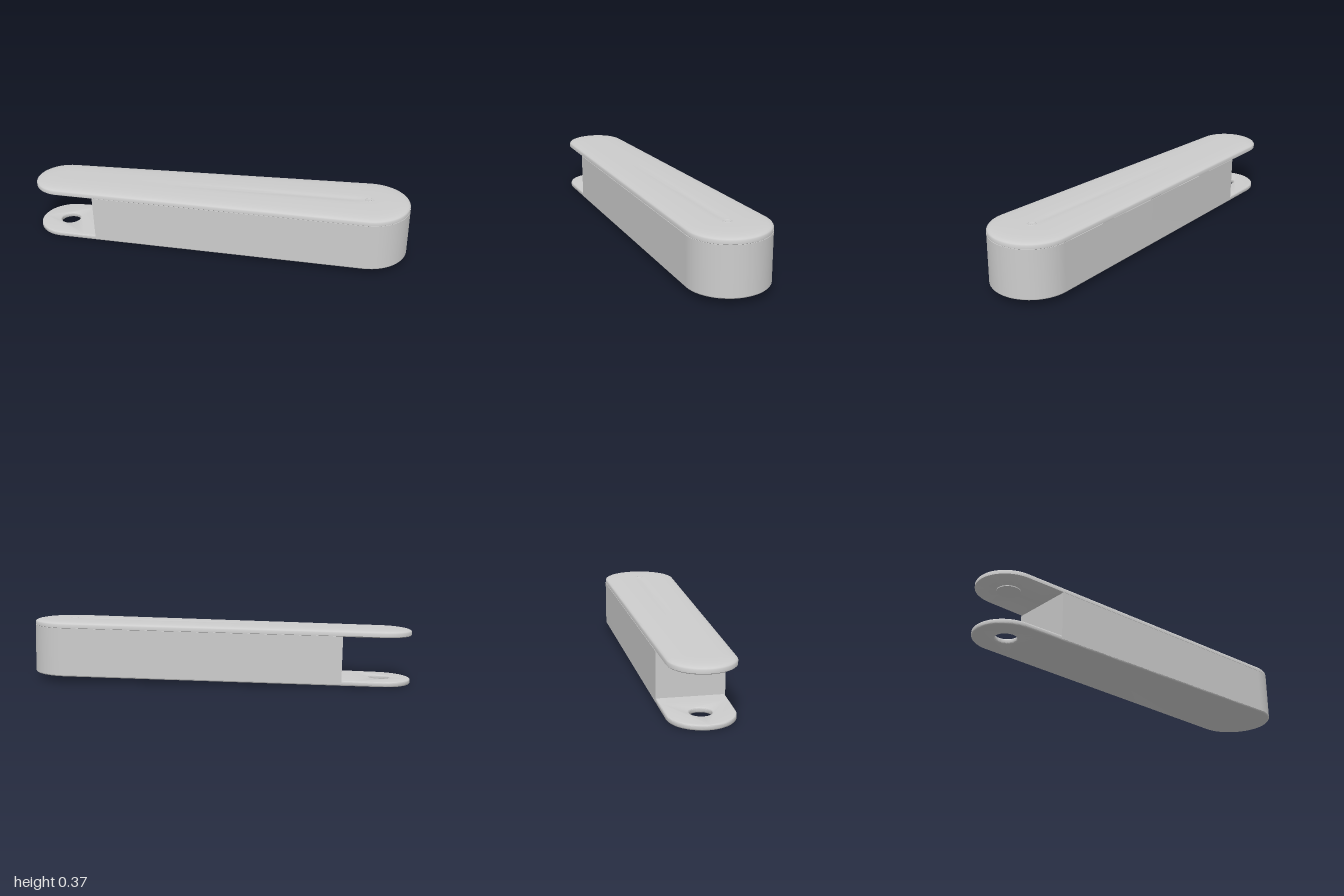
import * as THREE from 'three';
import { toCreasedNormals } from 'three/addons/utils/BufferGeometryUtils.js';

// Local frame: small end centred at u = 0, large end at u = L, v sideways
const L = 1.899, R_SMALL = 0.185, R_LARGE = 0.24;
const COS = (R_SMALL - R_LARGE) / L, PHI = Math.acos(COS);

// Outline of a tapered capsule: spine position, radius and direction per point
function outline(arcSteps = 28, sideSteps = 24) {
  const pts = [];
  const add = (t, a) => pts.push({ c: t * L, r: R_SMALL + t * (R_LARGE - R_SMALL), x: Math.cos(a), z: Math.sin(a) });
  for (let i = 0; i < arcSteps; i++) add(1, -PHI + (2 * PHI * i) / arcSteps);
  for (let i = 0; i < sideSteps; i++) add(1 - i / sideSteps, PHI);
  for (let i = 0; i < arcSteps; i++) add(0, PHI + (2 * (Math.PI - PHI) * i) / arcSteps);
  for (let i = 0; i < sideSteps; i++) add(i / sideSteps, -PHI);
  return pts;
}

function flatShape(inset) {
  return new THREE.Shape(outline().map(p => new THREE.Vector2(p.c + p.x * (p.r - inset), p.z * (p.r - inset))));
}

// Shallow groove along the top that fades out toward the small end and stops at the screw
function groove(u, v) {
  const fade = THREE.MathUtils.smoothstep(u, 0.45, 1.3) * (1 - THREE.MathUtils.smoothstep(u, L - 0.08, L - 0.01));
  return 0.004 * fade * Math.exp(-((v / 0.024) ** 2));
}

// Crowned cover lofted from rings of [inset or width fraction, height]
function coverGeometry(y0) {
  const ring = outline(), n = ring.length, pos = [], idx = [];
  const rows = [
    { s: 0, y: 0 }, { d: 0.006, y: 0 }, { d: 0, y: 0.005 }, { d: 0, y: 0.024 }, { d: 0.004, y: 0.030 },
    { d: 0.013, y: 0.034 }, { d: 0.03, y: 0.0375 }, { s: 0.7, y: 0.0405 }, { s: 0.5, y: 0.042 },
    { s: 0.32, y: 0.043 }, { s: 0.2, y: 0.043 }, { s: 0.14, y: 0.043 }, { s: 0.09, y: 0.043 },
    { s: 0.045, y: 0.043 }, { s: 0, y: 0.043 },
  ];
  rows.forEach((row, k) => ring.forEach(p => {
    const w = row.s === undefined ? p.r - row.d : p.r * row.s;
    const u = p.c + p.x * w, v = p.z * w;
    pos.push(u, y0 + row.y - (k > 6 ? groove(u, v) : 0), v);
  }));
  for (let k = 0; k < rows.length - 1; k++) {
    for (let i = 0; i < n; i++) {
      const j = (i + 1) % n, a = k * n + i, b = k * n + j, c = a + n, d = b + n;
      const onSide = ring[i].c !== ring[j].c;
      if (k > 0 || onSide) idx.push(a, c, b);
      if (k < rows.length - 2 || onSide) idx.push(b, c, d);
    }
  }
  const g = new THREE.BufferGeometry();
  g.setAttribute('position', new THREE.Float32BufferAttribute(pos, 3));
  g.setIndex(idx);
  return toCreasedNormals(g, 0.75);
}

function slab(shape, y0, y1, bevel = 0) {
  const g = new THREE.ExtrudeGeometry(shape, {
    depth: y1 - y0 - 2 * bevel, bevelEnabled: bevel > 0, bevelSize: bevel,
    bevelThickness: bevel, bevelSegments: 3, curveSegments: 40,
  });
  g.rotateX(-Math.PI / 2).translate(0, y0 + bevel, 0);
  return toCreasedNormals(g, 0.6);
}

export function createModel() {
  const grey = new THREE.MeshStandardMaterial({ color: 0xcccccc });
  grey.name = 'plain grey';
  const arm = new THREE.Group();
  const add = (name, geometry) => {
    const m = new THREE.Mesh(geometry, grey);
    m.name = name;
    arm.add(m);
    return m;
  };

  // Lower plate with a pivot hole in the small end
  const bevel = 0.008;
  const plate = flatShape(bevel);
  plate.holes.push(new THREE.Path().absarc(0, 0, 0.06 + bevel, 0, Math.PI * 2, true));
  add('lowerPlate', slab(plate, 0, 0.03, bevel));

  // Solid body, flush with the plate and cut off square before the small end
  const cut = 0.23, proud = 0.001, coverY = 0.292;
  const t = (cut - R_SMALL * COS) / (L + (R_LARGE - R_SMALL) * COS);
  const half = (R_SMALL + t * (R_LARGE - R_SMALL)) * Math.sin(PHI) + proud;
  const bodyR = R_LARGE + proud;
  const body = new THREE.Shape();
  body.moveTo(cut, -half);
  body.lineTo(L + bodyR * COS, -bodyR * Math.sin(PHI));
  body.absarc(L, 0, bodyR, -PHI, PHI, false);
  body.lineTo(cut, half);
  body.closePath();
  add('body', slab(body, 0.008, coverY + 0.003));

  // Crowned cover and the pivot disc beneath it
  add('cover', coverGeometry(coverY));
  const disc = add('pivotDisc', new THREE.CylinderGeometry(0.068, 0.068, 0.01, 40));
  disc.position.set(0, coverY, 0);

  // Small screw set almost flush in the large end
  const screw = new THREE.Group();
  screw.name = 'screw';
  const rim = new THREE.Mesh(new THREE.TorusGeometry(0.022, 0.005, 8, 28).rotateX(Math.PI / 2), grey);
  rim.name = 'screwRim';
  const head = new THREE.Mesh(new THREE.CylinderGeometry(0.011, 0.011, 0.008, 24), grey);
  head.name = 'screwHead';
  screw.add(rim, head);
  screw.position.set(L, coverY + 0.04, 0);
  arm.add(screw);

  // Slight rise toward the large end, then turned diagonally
  arm.name = 'arm';
  arm.rotation.set(0, -0.595, 0.018);
  arm.position.set(-0.813, 0.0035, -0.56);
  const model = new THREE.Group();
  model.name = 'taperedArm';
  model.add(arm);
  return model;
}
